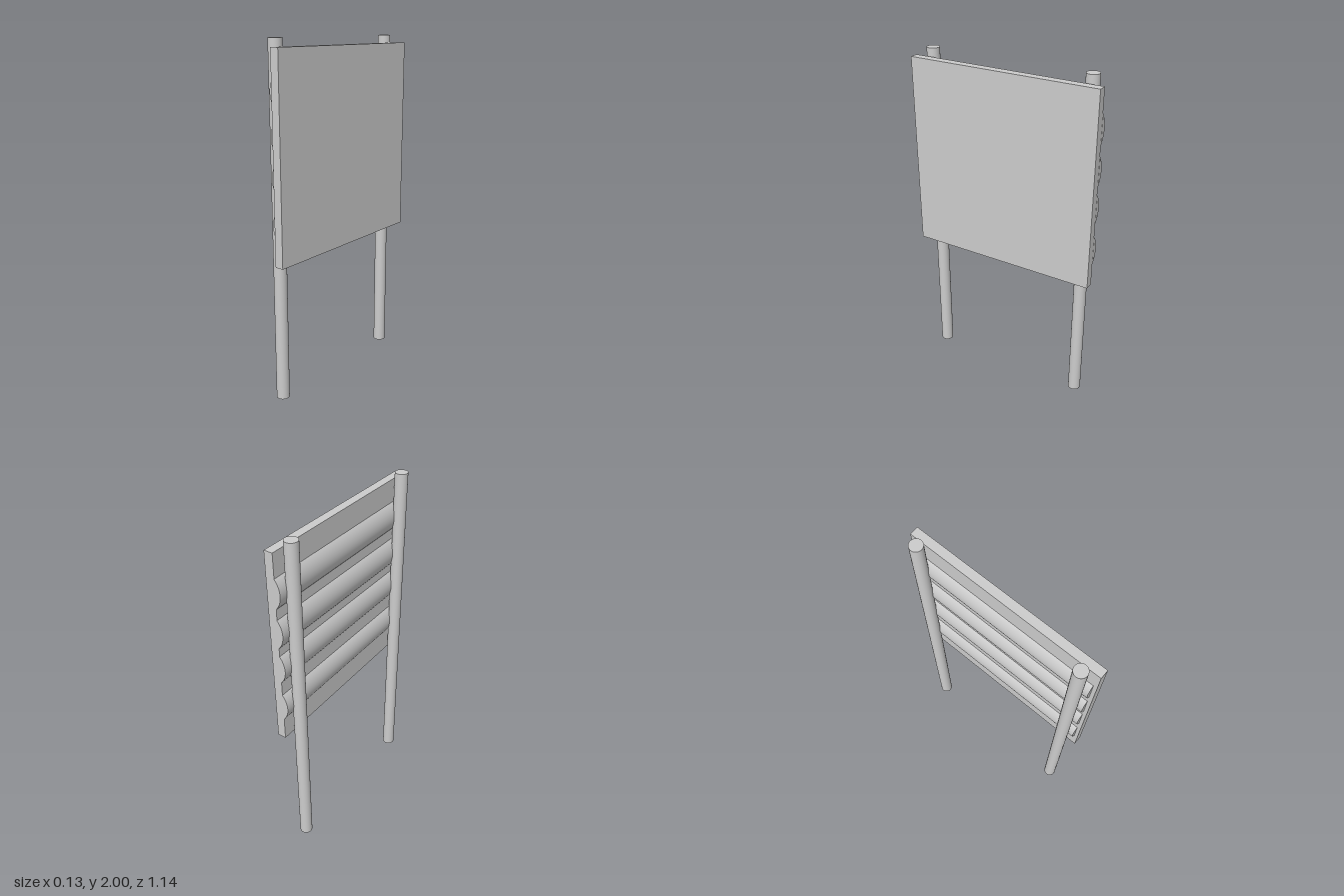
import * as THREE from 'three';

export function createModel() {
  const group = new THREE.Group();
  const mat = new THREE.MeshStandardMaterial({ color: 0xcccccc });
  const add = (name, geometry, x, y, z) => {
    const mesh = new THREE.Mesh(geometry, mat);
    mesh.name = name;
    mesh.position.set(x, y, z);
    group.add(mesh);
  };

  // Flat sign board facing +x
  add('board', new THREE.BoxGeometry(0.05, 1.14, 1.14), 0.04, 1.385, 0);

  // Two round posts behind the board
  const post = new THREE.CylinderGeometry(0.037, 0.037, 2, 48);
  add('leftPost', post, -0.03, 1, -0.486);
  add('rightPost', post, -0.03, 1, 0.486);

  // Shallow rounded battens: circular segments extruded along z
  const half = 0.084, depth = 0.031;
  const radius = (half * half + depth * depth) / (2 * depth);
  const angle = Math.asin(half / radius);
  const profile = new THREE.Shape();
  profile.absarc(radius - depth, 0, radius, Math.PI - angle, Math.PI + angle, false);
  profile.closePath();
  const batten = new THREE.ExtrudeGeometry(profile, { depth: 1.12, bevelEnabled: false, curveSegments: 24 });

  // Smooth normals on the curved face, flat elsewhere
  const pos = batten.attributes.position, nor = batten.attributes.normal;
  for (let i = 0; i < pos.count; i++) {
    if (Math.abs(nor.getZ(i)) > 0.5 || nor.getX(i) > 0.5) continue;
    nor.setXYZ(i, (pos.getX(i) - radius + depth) / radius, pos.getY(i) / radius, 0);
  }
  [1.035, 1.287, 1.505, 1.735].forEach((y, i) => add(`batten${i + 1}`, batten, 0.015, y, -0.571));

  return group;
}
